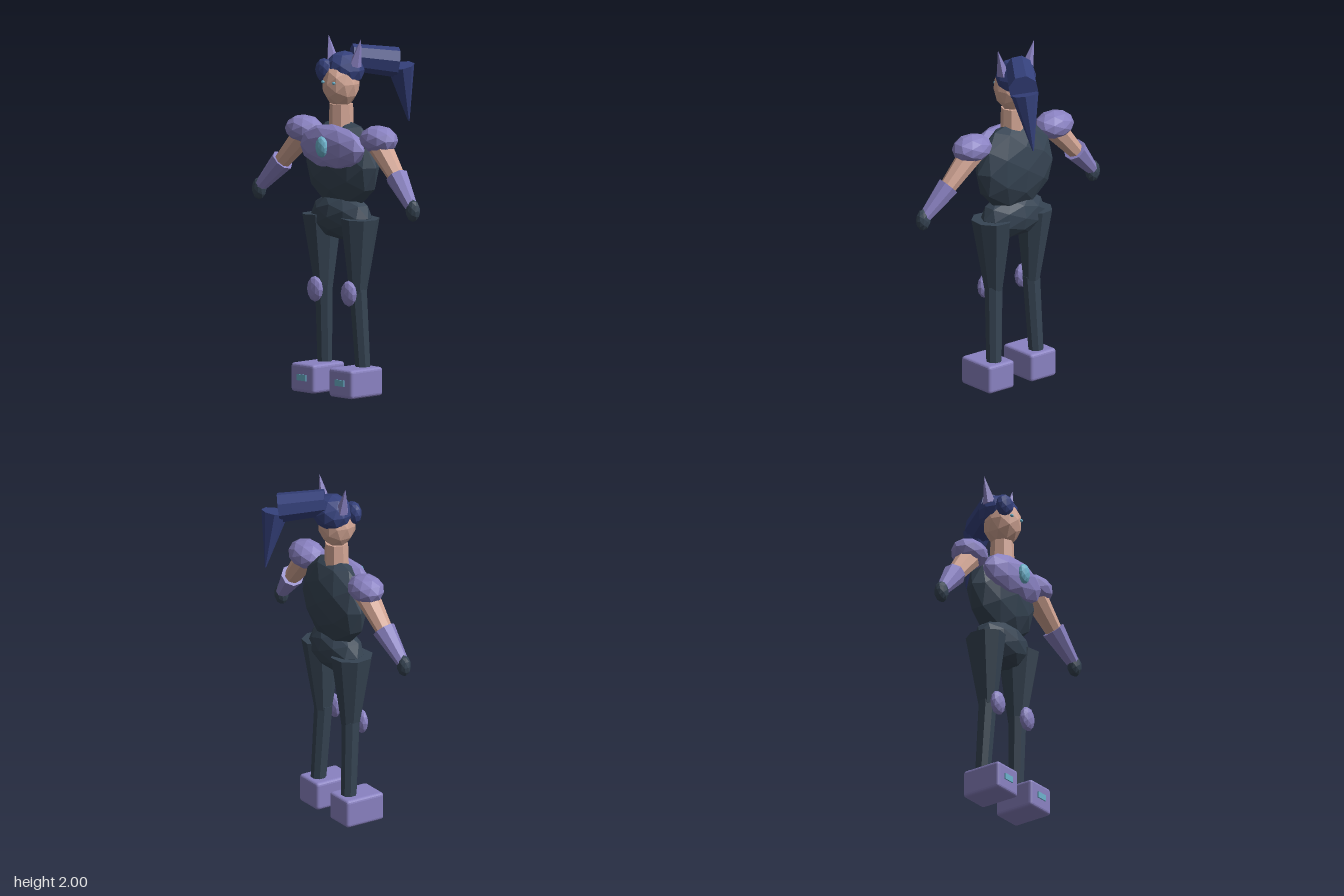
import * as THREE from 'three';
import { RoundedBoxGeometry } from 'three/addons/geometries/RoundedBoxGeometry.js';

export function createModel() {
  const model = new THREE.Group();
  model.name = 'figure';

  const material = (name, color) => {
    const m = new THREE.MeshStandardMaterial({ color, flatShading: true });
    m.name = name;
    return m;
  };
  const suit = material('dark suit', 0x364453);
  const armour = material('purple armour', 0x8a82c2);
  const skin = material('skin', 0xd3a695);
  const hair = material('navy hair', 0x35417c);
  const glow = material('cyan glow', 0x6cb2cc);

  const add = (name, geometry, mat, position = [0, 0, 0]) => {
    const mesh = new THREE.Mesh(geometry, mat);
    mesh.name = name;
    mesh.position.set(...position);
    model.add(mesh);
    return mesh;
  };

  // Faceted ellipsoid
  const blob = (name, mat, centre, radii, detail = 1) =>
    add(name, new THREE.IcosahedronGeometry(1, detail).scale(...radii), mat, centre);

  // Tapered tube between two points
  const limb = (name, mat, from, to, r0, r1, sides = 8) => {
    const a = new THREE.Vector3(...from);
    const b = new THREE.Vector3(...to);
    const dir = b.clone().sub(a);
    const mesh = add(name, new THREE.CylinderGeometry(r1, r0, dir.length(), sides), mat);
    mesh.position.copy(a).add(b).multiplyScalar(0.5);
    mesh.quaternion.setFromUnitVectors(new THREE.Vector3(0, 1, 0), dir.normalize());
    return mesh;
  };

  // Trunk
  blob('torso', suit, [0, 1.29, 0.085], [0.265, 0.26, 0.125]);
  blob('hips', suit, [0, 1.0, 0.095], [0.212, 0.135, 0.118]);
  blob('chestPlate', armour, [0, 1.39, 0.165], [0.25, 0.13, 0.085]);
  blob('chestGem', glow, [0, 1.4, 0.25], [0.042, 0.061, 0.028]);

  // Head
  limb('neck', skin, [0, 1.5, 0.097], [0, 1.63, 0.097], 0.07, 0.066);
  blob('head', skin, [0, 1.745, 0.1], [0.105, 0.135, 0.11]);
  blob('hairCap', hair, [0, 1.82, 0.07], [0.116, 0.105, 0.112]);
  blob('fringe', hair, [-0.066, 1.818, 0.165], [0.06, 0.068, 0.042]);

  // Ponytail
  limb('ponytailRoot', hair, [0.01, 1.885, 0.03], [0.158, 1.85, -0.185], 0.076, 0.085);
  limb('ponytailTip', hair, [0.165, 1.83, -0.205], [0.16, 1.51, -0.272], 0.077, 0.004);

  for (const s of [1, -1]) {
    const side = s > 0 ? 'left' : 'right';

    // Face and ears
    blob(side + 'Eye', glow, [s * 0.043, 1.757, 0.198], [0.012, 0.009, 0.009]);
    limb(side + 'Ear', armour, [s * 0.088, 1.85, 0.077], [s * 0.13, 2.0, 0.07], 0.038, 0.001, 5);

    // Arm
    blob(side + 'ShoulderPad', armour, [s * 0.298, 1.457, 0.095], [0.122, 0.08, 0.097]);
    limb(side + 'UpperArm', skin, [s * 0.27, 1.46, 0.09], [s * 0.475, 1.245, 0.112], 0.073, 0.046);
    limb(side + 'Forearm', armour, [s * 0.458, 1.265, 0.108], [s * 0.605, 1.11, 0.136], 0.066, 0.036);
    blob(side + 'Hand', suit, [s * 0.615, 1.093, 0.138], [0.045, 0.063, 0.038]);

    // Leg
    const thigh = limb(side + 'Thigh', suit, [s * 0.152, 1.0, 0.098], [s * 0.137, 0.58, 0.1], 0.106, 0.047);
    thigh.scale.z = 1.15;
    limb(side + 'Shin', suit, [s * 0.137, 0.6, 0.1], [s * 0.153, 0.15, 0.077], 0.052, 0.044);
    blob(side + 'KneePad', armour, [s * 0.135, 0.58, 0.17], [0.055, 0.073, 0.033]);

    // Boot with glowing plate on the toe
    add(side + 'Boot', new RoundedBoxGeometry(0.185, 0.162, 0.248, 2, 0.018), armour,
      [s * 0.152, 0.083, 0.131]);
    add(side + 'BootPlate', new THREE.BoxGeometry(0.07, 0.035, 0.008), glow,
      [s * 0.152, 0.087, 0.258]);
  }

  return model;
}
